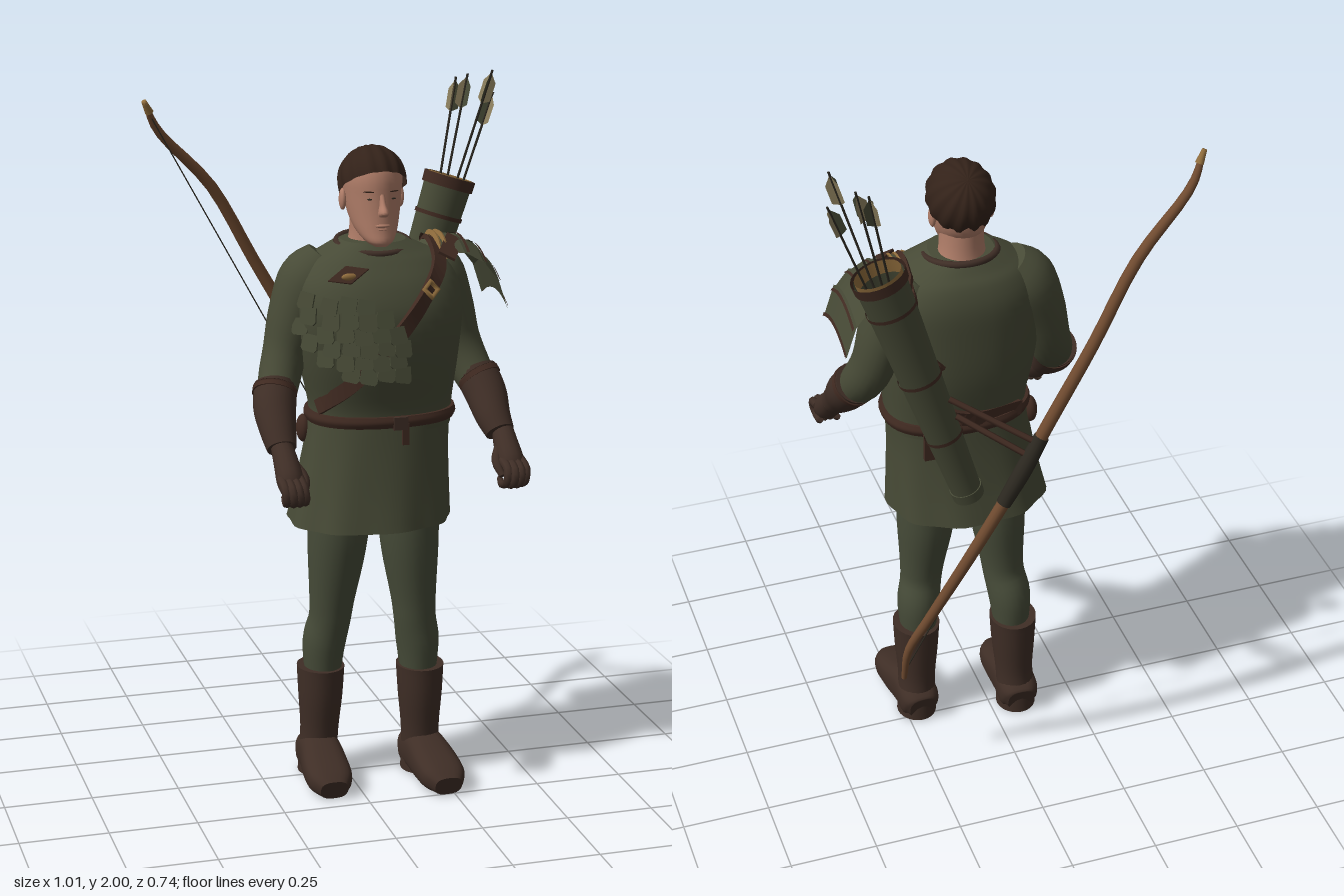
import * as THREE from 'three';

const V = (x, y, z) => new THREE.Vector3(x, y, z);
const mat = (name, color) => Object.assign(new THREE.MeshStandardMaterial({ color, side: THREE.DoubleSide }), { name });
const MID = 0.068; // body's own centre line

// Smooth skin through sections [x, y, z, halfWidth, halfDepth]
function loft(secs, { n = 24, steps = 4, flat = false, p = 2, caps = true, warp = () => 1 } = {}) {
  const path = new THREE.CatmullRomCurve3(secs.map(s => V(s[0], s[1], s[2])), false, 'catmullrom', 0.5);
  const size = new THREE.CatmullRomCurve3(secs.map(s => V(s[3], s[4] ?? s[3], 0)), false, 'catmullrom', 0.5);
  const pos = [], idx = [], N = (secs.length - 1) * steps;
  const pw = c => Math.sign(c) * Math.abs(c) ** (2 / p);
  for (let i = 0; i <= N; i++) {
    const f = i / N, c = path.getPoint(f), r = size.getPoint(f), t = path.getTangent(f);
    if (flat) t.set(0, Math.sign(t.y) || 1, 0);
    const u = V(1, 0, 0).addScaledVector(t, -t.x).normalize(), v = t.clone().cross(u);
    for (let j = 0; j < n; j++) {
      const a = j / n * Math.PI * 2, k = warp(a, f);
      pos.push(...c.clone().addScaledVector(u, pw(Math.cos(a)) * r.x * k).addScaledVector(v, pw(Math.sin(a)) * r.y * k).toArray());
      if (i < N) {
        const A = i * n + j, B = i * n + (j + 1) % n;
        idx.push(A, B, A + n, B, B + n, A + n);
      }
    }
  }
  if (caps) for (const end of [0, 1]) {
    const start = pos.length / 3;
    pos.push(...pos.slice(end * N * n * 3, (end * N + 1) * n * 3), ...path.getPoint(end).toArray());
    for (let j = 0; j < n; j++) {
      const A = start + j, B = start + (j + 1) % n;
      idx.push(start + n, end ? A : B, end ? B : A);
    }
  }
  const g = new THREE.BufferGeometry();
  g.setAttribute('position', new THREE.Float32BufferAttribute(pos, 3));
  g.setIndex(idx);
  g.computeVertexNormals();
  return g;
}

const TORSO = [[0.085, 1.06, 0.04, 0.2, 0.14], [0.085, 1.13, 0.04, 0.203, 0.145], [0.077, 1.25, 0.05, 0.222, 0.17],
  [0.072, 1.38, 0.06, 0.235, 0.18], [0.07, 1.47, 0.05, 0.228, 0.165], [0.07, 1.53, 0.04, 0.19, 0.135],
  [0.065, 1.56, 0.04, 0.14, 0.11], [0.062, 1.585, 0.04, 0.09, 0.09]];

// Point just above the torso, in front (s = 1) or behind (s = -1)
function onTorso(x, y, s = 1, off = 0.012) {
  let i = 0;
  while (i < TORSO.length - 2 && TORSO[i + 1][1] < y) i++;
  const A = TORSO[i], B = TORSO[i + 1], f = (y - A[1]) / (B[1] - A[1]);
  const [cx, , cz, rx, rz] = A.map((a, k) => a + (B[k] - a) * f);
  const d = Math.min(0.995, Math.abs(x - cx) / rx);
  return V(x, y, cz + s * (rz * (1 - d ** 2.3) ** (1 / 2.3) + off));
}

// Flat leather band following points over the body
function ribbon(pts, width, steps = 40) {
  const c = new THREE.CatmullRomCurve3(pts), pos = [], idx = [];
  for (let i = 0; i <= steps; i++) {
    const q = c.getPoint(i / steps), t = c.getTangent(i / steps);
    const nrm = V(q.x - MID, Math.max(0, q.y - 1.45) * 3, q.z - 0.05).normalize();
    const w = t.cross(nrm).normalize();
    for (const [s, o] of [[-1, -0.008], [-1, 0.006], [1, 0.006], [1, -0.008]])
      pos.push(...q.clone().addScaledVector(w, s * width / 2).addScaledVector(nrm, o).toArray());
    if (i < steps) for (let k = 0; k < 3; k++) {
      const A = i * 4 + k;
      idx.push(A, A + 1, A + 4, A + 1, A + 5, A + 4);
    }
  }
  const g = new THREE.BufferGeometry();
  g.setAttribute('position', new THREE.Float32BufferAttribute(pos, 3));
  g.setIndex(idx);
  const flat = g.toNonIndexed();
  flat.computeVertexNormals();
  return flat;
}

export function createModel() {
  const M = {
    tunic: mat('tunic green', 0x474a36), hose: mat('hose green', 0x474c39), boot: mat('boot leather', 0x3f2e26),
    belt: mat('strap leather', 0x402a21), skin: mat('skin', 0xb17e69), hair: mat('hair', 0x332219),
    wood: mat('bow wood', 0x704b30), brass: mat('brass', 0x8f6c3c), feather: mat('feather', 0x8a7d5c), dark: mat('dark cord', 0x2c2820),
  };
  const model = new THREE.Group();
  const add = (name, geo, m) => {
    const mesh = new THREE.Mesh(geo, m);
    mesh.name = name;
    model.add(mesh);
    return mesh;
  };
  const rod = (name, a, b, r, m, n = 6) => {
    const mesh = add(name, new THREE.CylinderGeometry(r, r, a.distanceTo(b), n), m);
    mesh.position.lerpVectors(a, b, 0.5);
    mesh.quaternion.setFromUnitVectors(V(0, 1, 0), b.clone().sub(a).normalize());
  };
  const ball = (name, x, y, z, sx, sy, sz, m) => {
    const b = add(name, new THREE.SphereGeometry(1, 16, 12).scale(sx, sy, sz), m);
    b.position.set(x, y, z);
    return b;
  };

  // Tunic
  add('tunicBody', loft(TORSO, { n: 40, flat: true, p: 2.3 }), M.tunic);
  add('tunicSkirt', loft([[0.085, 1.1, 0.04, 0.2, 0.14], [0.075, 1.0, 0.04, 0.205, 0.15], [0.065, 0.88, 0.038, 0.218, 0.167],
    [0.056, 0.785, 0.035, 0.23, 0.185]], { n: 56, flat: true, p: 2.2, caps: false, warp: (a, f) => 1 + 0.022 * f * Math.sin(9 * a + 1) }), M.tunic);
  const collar = add('collar', new THREE.TorusGeometry(0.1, 0.01, 8, 32).rotateX(Math.PI / 2 + 0.14), M.boot);
  collar.position.set(0.062, 1.572, 0.048);

  // Belt with buckle, hanging ends and hip pouch
  add('belt', loft([[0.085, 1.078, 0.04, 0.208, 0.15], [0.085, 1.094, 0.04, 0.214, 0.156], [0.085, 1.11, 0.04, 0.21, 0.151]],
    { n: 40, flat: true, p: 2.3 }), M.belt);
  add('buckle', new THREE.BoxGeometry(0.04, 0.036, 0.016), M.boot).position.set(0.1, 1.092, 0.192);
  add('beltTail', new THREE.BoxGeometry(0.018, 0.06, 0.012), M.belt).position.set(0.115, 1.06, 0.192);
  add('beltTail', new THREE.BoxGeometry(0.035, 0.08, 0.014), M.belt).position.set(0.2, 1.05, -0.1);
  ball('hipPouch', -0.125, 1.045, 0.0, 0.02, 0.04, 0.03, M.belt);

  // Shoulder strap, front and back, with stitched edging on top
  const frontStrap = [0, 0.2, 0.4, 0.6, 0.8, 1].map(t => onTorso(0.22 - 0.33 * t, 1.52 - 0.39 * t));
  const backStrap = [[0.24, 1.5], [0.255, 1.36], [0.235, 1.23], [0.12, 1.14], [-0.07, 1.11]].map(([x, y]) => onTorso(x, y, -1));
  add('shoulderStrap', ribbon([...frontStrap.reverse(), V(0.235, 1.57, 0.04), ...backStrap], 0.042, 60), M.belt);
  for (const x of [0.238, 0.255])
    add('strapEdging', ribbon([V(x, 1.535, 0.12), V(x, 1.575, 0.08), V(x, 1.586, 0.03), V(x, 1.575, -0.02), V(x, 1.535, -0.06)], 0.006, 16), M.brass);
  const flap = add('strapFlap', new THREE.BoxGeometry(0.05, 0.008, 0.11), M.belt);
  flap.position.set(0.27, 1.558, 0.1);
  flap.rotation.set(0.35, -0.5, -0.3);
  const strapBuckle = add('strapBuckle', new THREE.TorusGeometry(0.022, 0.008, 6, 4), M.brass);
  strapBuckle.position.copy(onTorso(0.175, 1.47, 1, 0.022));
  strapBuckle.rotation.set(-0.4, 0.3, 0);
  const clasp = add('chestClasp', new THREE.CylinderGeometry(0.026, 0.026, 0.01, 4).rotateX(Math.PI / 2).scale(2.2, 1, 1), M.belt);
  clasp.position.copy(onTorso(-0.045, 1.513, 1, 0.012));
  clasp.rotation.set(-0.5, -0.3, 0.15);
  const stud = ball('claspStud', 0, 0, 0, 0.022, 0.01, 0.008, M.brass);
  stud.position.copy(onTorso(-0.045, 1.51, 1, 0.018));

  // Overlapping plates on the chest
  const plateShape = new THREE.Shape([[-0.022, 0.022], [0.022, 0.022], [0.025, -0.018], [0.018, -0.026], [-0.018, -0.024], [-0.025, -0.016]]
    .map(c => new THREE.Vector2(...c)));
  const plateGeo = new THREE.ExtrudeGeometry(plateShape, { depth: 0.006, bevelEnabled: false });
  [[-0.15, 4], [-0.16, 5], [-0.16, 6], [-0.155, 6], [-0.11, 5], [-0.06, 4]].forEach(([x0, count], row) => {
    for (let k = 0; k < count; k++) {
      const x = x0 + k * 0.046 + (row % 2) * 0.012, y = 1.44 - row * 0.038 - (k % 2) * 0.007;
      const plate = add('chestPlate', plateGeo, M.tunic);
      plate.position.copy(onTorso(x, y, 1, 0.022));
      plate.rotation.set(-0.25, Math.max(-1.1, (x - 0.05) * 4), ((row * 7 + k * 5) % 5 - 2) * 0.07, 'YXZ');
    }
  });

  // Arms, bracers and gloved hands; the left hand sits a little wider
  for (const s of [-1, 1]) {
    const side = s < 0 ? 'right' : 'left', wide = s < 0 ? 0 : 0.018;
    const at = secs => secs.map(([d, ...rest]) => [MID + s * d, ...rest]);
    const hand = secs => at(secs.map(([d, y, z, ...r]) => [d + wide, y, z - wide * 0.6, ...r]));
    add(side + 'Sleeve', loft(at([[0.13, 1.53, 0.02, 0.06, 0.07], [0.175, 1.47, 0.015, 0.088, 0.095], [0.218, 1.38, 0.015, 0.075, 0.085],
      [0.25, 1.28, 0.025, 0.062, 0.07], [0.278, 1.2, 0.06, 0.058, 0.06], [0.31, 1.12, 0.13, 0.045, 0.045]])), M.tunic);
    add(side + 'Bracer', loft(at([[0.29, 1.19, 0.07, 0.06, 0.06], [0.304, 1.14, 0.115, 0.059, 0.058], [0.308, 1.09, 0.165, 0.05, 0.049],
      [0.308 + wide / 2, 1.05, 0.205, 0.041, 0.039]])), M.boot);
    add(side + 'BracerCuff', loft(at([[0.293, 1.182, 0.077, 0.062, 0.062], [0.298, 1.17, 0.088, 0.062, 0.062]])), M.belt);
    add(side + 'Palm', loft(hand([[0.309, 1.055, 0.205, 0.03], [0.307, 1.022, 0.243, 0.034, 0.036], [0.307, 0.985, 0.285, 0.037, 0.037],
      [0.308, 0.96, 0.312, 0.031, 0.024]]), { n: 14 }), M.boot);
    for (let k = 0; k < 4; k++) {
      const d = 0.282 + k * 0.017, l = k === 1 || k === 2 ? 0.008 : 0;
      add(side + 'Finger', loft(hand([[d, 0.99, 0.29, 0.013], [d, 0.975, 0.338 + l, 0.013], [d - 0.004, 0.943, 0.344 + l, 0.012],
        [d - 0.008, 0.927, 0.312 + l, 0.011], [d - 0.008, 0.94, 0.29 + l, 0.008]]), { n: 8, steps: 3 }), M.boot);
    }
    add(side + 'Thumb', loft(hand([[0.285, 1.015, 0.25, 0.014], [0.266, 0.985, 0.285, 0.014], [0.274, 0.952, 0.315, 0.01]]), { n: 8 }), M.boot);

    // Legs and boots; the right foot stands a little further back
    const back = s < 0 ? 0.06 : 0;
    const leg = secs => secs.map(([d, y, z, a, b]) => [MID + s * d, y, z - back * Math.min(1, Math.max(0, (0.85 - y) / 0.5)), a, b]);
    add(side + 'Leg', loft(leg([[0.095, 0.95, 0.04, 0.09, 0.11], [0.1, 0.8, 0.047, 0.087, 0.105], [0.106, 0.68, 0.05, 0.08, 0.094],
      [0.115, 0.55, 0.055, 0.065, 0.071], [0.12, 0.48, 0.055, 0.06, 0.064], [0.132, 0.4, 0.045, 0.061, 0.069], [0.135, 0.28, 0.045, 0.048, 0.055]])), M.hose);
    add(side + 'BootShaft', loft(leg([[0.14, 0.33, 0.044, 0.068, 0.078], [0.141, 0.24, 0.044, 0.063, 0.071], [0.143, 0.14, 0.04, 0.055, 0.06],
      [0.146, 0.07, 0.035, 0.056, 0.061], [0.147, 0.004, 0.035, 0.058, 0.064]])), M.boot);
    add(side + 'Foot', loft(leg([[0.145, 0.048, -0.025, 0.04, 0.042], [0.146, 0.056, 0.0, 0.058, 0.054], [0.149, 0.064, 0.07, 0.06, 0.063],
      [0.155, 0.053, 0.15, 0.066, 0.051], [0.159, 0.042, 0.22, 0.063, 0.04], [0.16, 0.031, 0.264, 0.04, 0.028]]), { p: 2.7 }), M.boot);
  }

  // Layered guard on the left shoulder
  const profile = [[0.24, 1.575], [0.3, 1.568], [0.35, 1.54], [0.39, 1.49], [0.415, 1.415]];
  for (let i = 0; i < 4; i++) {
    const [x0, y0] = profile[i], [x1, y1] = profile[i + 1];
    const strip = (f0, f1, lift) => {
      const g = new THREE.PlaneGeometry(1, 1, 12, 1), p = g.attributes.position;
      for (let k = 0; k < p.count; k++) {
        const a = p.getX(k) * 2, f = p.getY(k) > 0 ? f0 : f1;
        p.setXYZ(k, x0 + (x1 - x0) * f + lift, y0 + (y1 - y0) * f + lift - 0.034 * a * a, 0.024 + a * (0.1 + 0.004 * i));
      }
      g.computeVertexNormals();
      return g;
    };
    add('shoulderGuardBand', strip(-0.15, 1.1, 0.008), M.tunic);
    add('shoulderGuardTrim', strip(0.98, 1.12, 0.011), M.belt);
  }

  // Head and neck
  add('neck', loft([[0.062, 1.54, 0.03, 0.075, 0.072], [0.062, 1.6, 0.035, 0.062, 0.065], [0.06, 1.68, 0.04, 0.06, 0.065]], { flat: true }), M.skin);
  add('head', loft([[0.06, 1.578, 0.125, 0.02, 0.024], [0.06, 1.592, 0.112, 0.04, 0.046], [0.06, 1.62, 0.082, 0.058, 0.072],
    [0.06, 1.66, 0.058, 0.07, 0.092], [0.06, 1.71, 0.047, 0.078, 0.1], [0.06, 1.76, 0.045, 0.081, 0.1], [0.06, 1.8, 0.045, 0.068, 0.085],
    [0.06, 1.825, 0.045, 0.03, 0.04]], { flat: true }), M.skin);
  add('nose', loft([[0.06, 1.722, 0.138, 0.008, 0.01], [0.06, 1.695, 0.148, 0.009, 0.016], [0.06, 1.674, 0.156, 0.014, 0.024],
    [0.06, 1.662, 0.147, 0.013, 0.016]], { n: 12, flat: true }), M.skin);
  ball('upperLip', 0.06, 1.636, 0.146, 0.022, 0.006, 0.009, M.skin);
  ball('lowerLip', 0.06, 1.626, 0.145, 0.019, 0.006, 0.009, M.skin);
  for (const s of [-1, 1]) {
    ball('ear', 0.06 + s * 0.082, 1.695, 0.04, 0.01, 0.03, 0.018, M.skin);
    ball('eye', 0.06 + s * 0.031, 1.708, 0.136, 0.01, 0.0025, 0.004, M.dark);
    ball('eyebrow', 0.06 + s * 0.033, 1.728, 0.135, 0.018, 0.002, 0.005, M.hair).rotation.y = s * 0.35;
  }

  // Swept-back hair with shallow strand ridges
  const hair = new THREE.SphereGeometry(1, 64, 20, 0, Math.PI * 2, 0, 1.74), hp = hair.attributes.position;
  for (let i = 0; i < hp.count; i++) {
    const x = hp.getX(i), y = hp.getY(i), z = hp.getZ(i), a = Math.atan2(z, x);
    const k = 1 + 0.025 * Math.sin(a * 14) * Math.hypot(x, z);
    hp.setXYZ(i, x * k, y * k, z * k);
  }
  hair.rotateX(-0.62).scale(0.093, 0.1, 0.109).computeVertexNormals();
  add('hair', hair, M.hair).position.set(0.06, 1.74, 0.046);

  // Quiver on the back with bands
  const B = V(0.115, 0.925, -0.17), T = V(0.362, 1.69, -0.2);
  const tube = (f0, f1, grow, caps) => loft([f0, (f0 + f1) / 2, f1].map(f => [...B.clone().lerp(T, f).toArray(),
    0.042 + 0.028 * f + grow, 0.04 + 0.017 * f + grow]), { caps });
  add('quiver', tube(0, 1, 0, false), M.tunic);
  add('quiverBase', tube(-0.01, 0.03, 0.003, true), M.tunic);
  add('quiverInside', tube(0.9, 0.91, -0.002, true), M.dark);
  for (const f of [0.28, 0.55, 0.86]) add('quiverBand', tube(f, f + 0.014, 0.004, false), M.belt);
  add('quiverRim', tube(0.97, 1.01, 0.006, false), M.belt);
  add('quiverLining', tube(0.96, 1.012, -0.005, false), M.brass);

  // Arrows with three vanes each
  const vaneShape = new THREE.Shape([[0, -0.1], [0.021, -0.088], [0.021, -0.035], [0, -0.008]].map(c => new THREE.Vector2(...c)));
  [[0.4, 1.97, -0.265], [0.43, 1.98, -0.25], [0.475, 2.0, -0.165], [0.495, 1.93, -0.215]].forEach((q, i) => {
    const tip = V(...q), base = V(0.325 + i * 0.016, 1.6, -0.205 + (i - 1.5) * 0.008);
    rod('arrowShaft', base, tip, 0.0035, M.dark);
    const dir = tip.clone().sub(base).normalize();
    for (let k = 0; k < 3; k++) {
      const vane = add('arrowVane', new THREE.ShapeGeometry(vaneShape).rotateY(k * Math.PI * 2 / 3 + i), (i + k) % 3 ? M.feather : M.tunic);
      vane.position.copy(tip);
      vane.quaternion.setFromUnitVectors(V(0, 1, 0), dir);
    }
  });

  // Bow, horn tip, grip, string and the straps that hold it
  add('bow', loft([[-0.505, 1.935, -0.255, 0.007], [-0.455, 1.84, -0.285, 0.013], [-0.305, 1.68, -0.318, 0.016], [-0.18, 1.46, -0.342, 0.017],
    [-0.06, 1.25, -0.351, 0.018], [0.05, 1.04, -0.349, 0.018], [0.16, 0.83, -0.33, 0.017], [0.26, 0.62, -0.29, 0.015],
    [0.318, 0.48, -0.252, 0.012], [0.328, 0.36, -0.228, 0.008]], { n: 12 }), M.wood);
  add('bowTip', loft([[-0.508, 1.94, -0.254, 0.007], [-0.49, 1.905, -0.265, 0.012]], { n: 10 }), M.brass);
  add('bowGrip', loft([[-0.035, 1.2, -0.351, 0.021], [0.017, 1.1, -0.351, 0.024], [0.07, 1.0, -0.346, 0.021]], { n: 12 }), M.dark);
  rod('bowString', V(-0.485, 1.89, -0.262), V(0.328, 0.38, -0.23), 0.002, M.dark);
  rod('bowStrap', V(0.18, 1.28, -0.215), V(-0.01, 1.19, -0.345), 0.009, M.belt);
  rod('bowStrap', V(0.16, 1.22, -0.215), V(0.01, 1.15, -0.345), 0.009, M.belt);
  add('quiverStrap', ribbon([V(0.235, 1.565, -0.02), V(0.265, 1.5, -0.1), V(0.255, 1.42, -0.14), V(0.18, 1.32, -0.135)], 0.034, 20), M.belt);
  rod('quiverStrap', V(0.17, 1.13, -0.16), V(0.16, 1.12, -0.1), 0.014, M.belt);
  return model;
}
